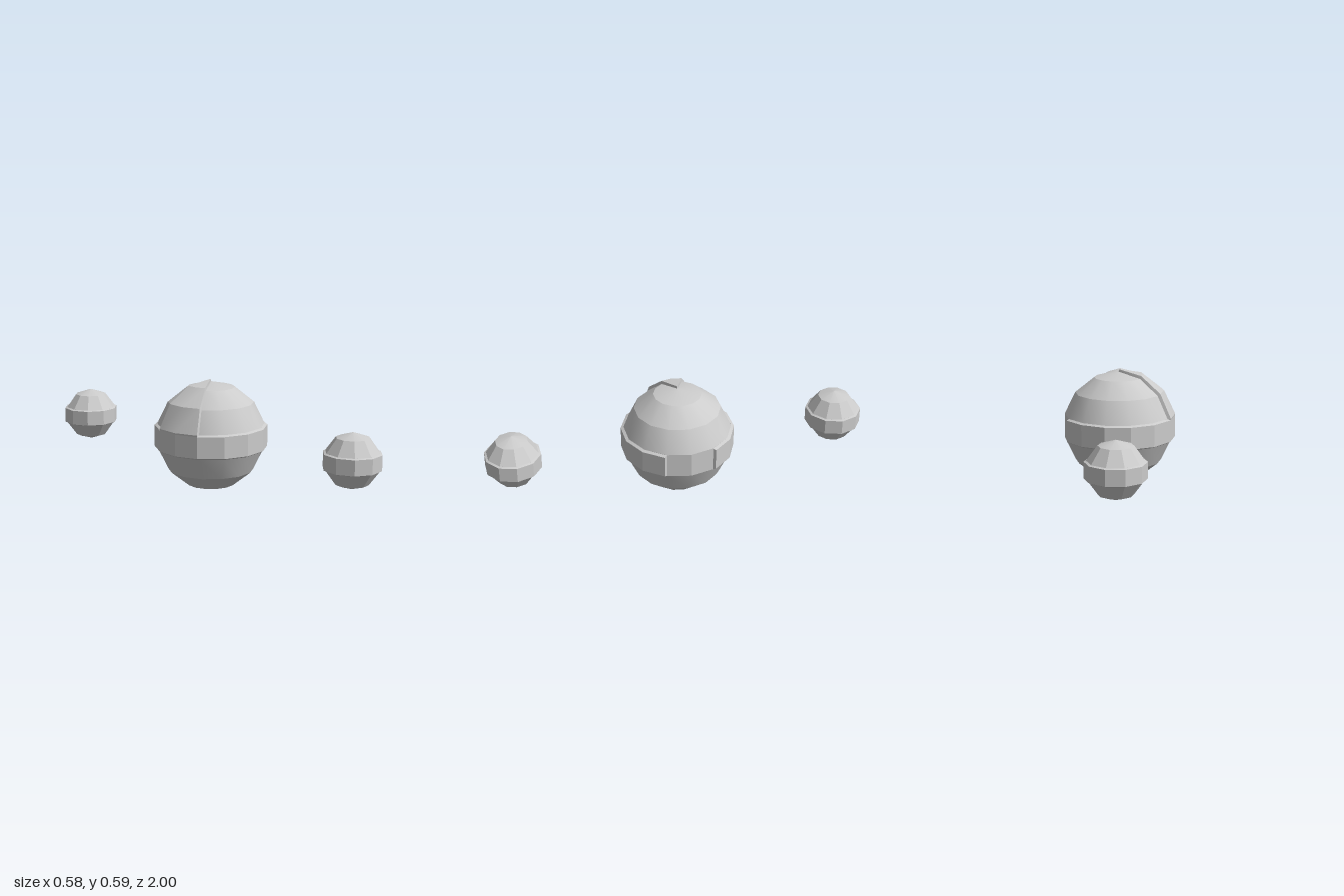
import * as THREE from 'three';
import { toCreasedNormals } from 'three/addons/utils/BufferGeometryUtils.js';

const CREASE = 0.42;
const grey = new THREE.MeshStandardMaterial({ color: 0xcccccc, side: THREE.DoubleSide });

function part(name, geometry) {
  const mesh = new THREE.Mesh(toCreasedNormals(geometry, CREASE), grey);
  mesh.name = name;
  return mesh;
}

// Skin over columns; each column is { deg, profile: [[radius, y], ...] } listed bottom to top
function loft(columns) {
  const pts = columns.map(({ deg, profile }) => {
    const a = THREE.MathUtils.degToRad(deg);
    return profile.map(([r, y]) => [r * Math.cos(a), y, r * Math.sin(a)]);
  });
  const pos = [];
  for (let i = 0; i + 1 < pts.length; i++) {
    for (let j = 0; j + 1 < pts[i].length; j++) {
      const a = pts[i][j], b = pts[i][j + 1], c = pts[i + 1][j], d = pts[i + 1][j + 1];
      pos.push(...a, ...b, ...c, ...c, ...b, ...d);
    }
  }
  const g = new THREE.BufferGeometry();
  g.setAttribute('position', new THREE.Float32BufferAttribute(pos, 3));
  return g;
}

function mainBall() {
  const group = new THREE.Group();
  group.name = 'mainBall';
  group.add(part('mainSphere', new THREE.SphereGeometry(0.287, 14, 7)));

  // Raised belt, open over two facets on the +x side
  const step = 360 / 14, inset = 1.4;
  const flush = [[0.28, -0.064], [0.28, -0.062], [0.28, 0.062], [0.28, 0.064]];
  const raised = [[0.28, -0.064], [0.295, -0.056], [0.295, 0.057], [0.28, 0.064]];
  const belt = [{ deg: step, profile: flush }];
  for (let i = 1; i <= 13; i++) {
    let deg = i * step;
    if (i === 1 || i === 6) deg += inset;
    if (i === 8 || i === 13) deg -= inset;
    belt.push({ deg, profile: raised });
  }
  belt.push({ deg: 13 * step, profile: flush });
  group.add(part('mainBelt', loft(belt)));

  // Raised wedge from the belt to the pole on the -x side
  const seam = [[0.28, 0.057], [0.28, 0.064], [0.2244, 0.179], [0.1245, 0.2586], [0, 0.287]];
  const outer = [[0.295, 0.057], [0.296, 0.065], [0.237, 0.189], [0.129, 0.274], [0.006, 0.299]];
  group.add(part('wedgePanel', loft([
    { deg: 6 * step, profile: seam },
    { deg: 6 * step + inset, profile: outer },
    { deg: 180, profile: outer },
    { deg: 8 * step - inset, profile: outer },
    { deg: 8 * step, profile: seam },
  ])));
  return group;
}

function smallBall(name) {
  const group = new THREE.Group();
  group.name = name;
  group.add(part('smallSphere', new THREE.SphereGeometry(0.1415, 10, 5)));
  // Raised belt all the way round
  const profile = [[0.1346, -0.0437], [0.146, -0.039], [0.146, 0.039], [0.1346, 0.0437]];
  const columns = [];
  for (let i = 0; i <= 10; i++) columns.push({ deg: i * 36, profile });
  group.add(part('smallBelt', loft(columns)));
  return group;
}

export function createModel() {
  const model = new THREE.Group();
  model.name = 'threeBalls';
  model.add(mainBall());
  for (const s of [1, -1]) {
    const ball = smallBall(s > 0 ? 'frontBall' : 'backBall');
    ball.position.z = s * 0.861;
    model.add(ball);
  }
  model.position.set(0.007, 0.287, 0);
  return model;
}
